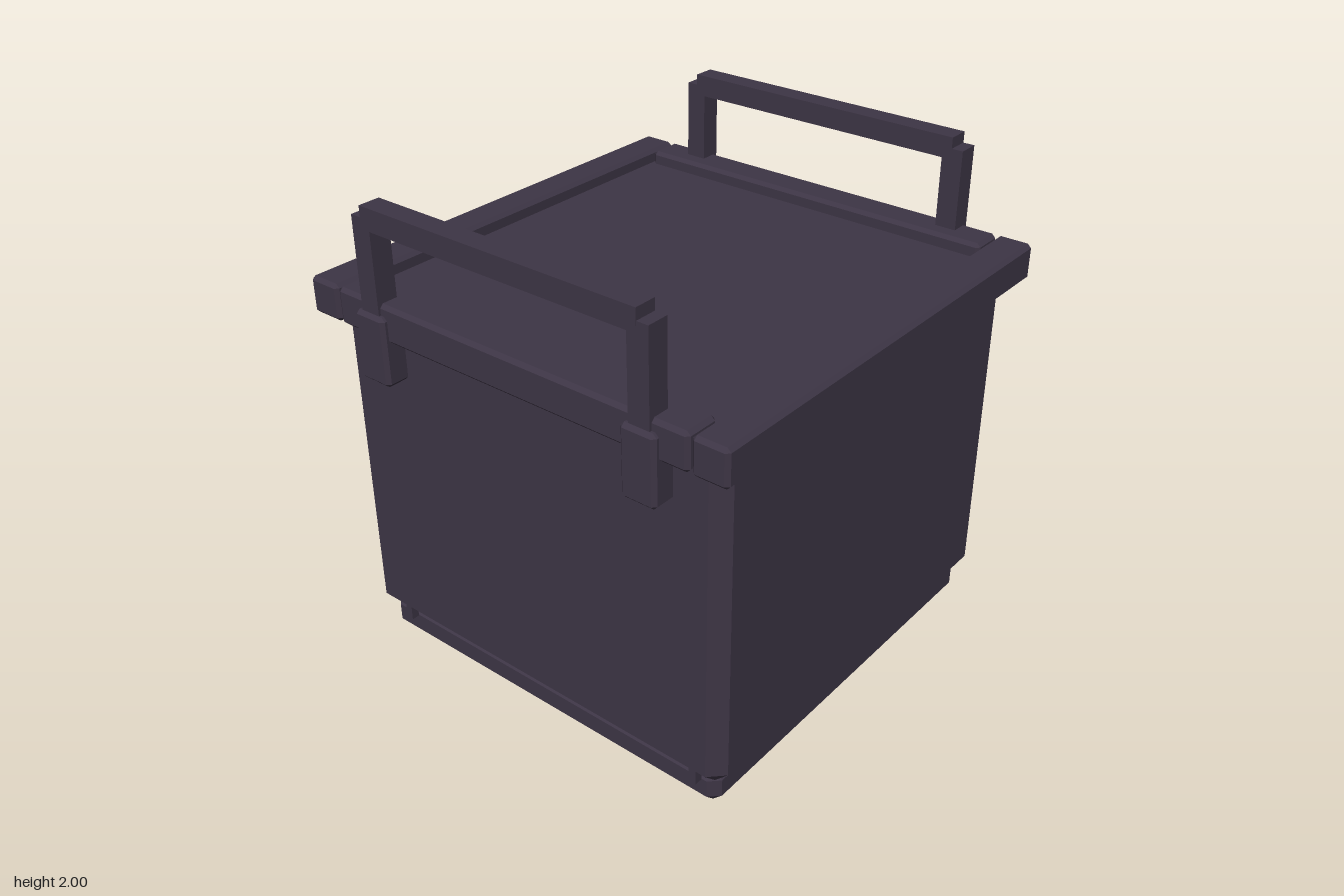
import * as THREE from 'three';
import { ConvexGeometry } from 'three/addons/geometries/ConvexGeometry.js';

// Box between two corners with every edge chamfered by c
function chamferBox(min, max, c) {
  const mid = min.map((v, i) => (v + max[i]) / 2);
  const half = min.map((v, i) => (max[i] - v) / 2);
  const points = [];
  for (const sx of [-1, 1]) for (const sy of [-1, 1]) for (const sz of [-1, 1]) {
    const signs = [sx, sy, sz];
    for (let face = 0; face < 3; face++) {
      points.push(new THREE.Vector3(...signs.map(
        (s, i) => mid[i] + s * (half[i] - (i === face ? 0 : c)))));
    }
  }
  return new ConvexGeometry(points);
}

function plainBox(min, max) {
  const size = min.map((v, i) => max[i] - v);
  return new THREE.BoxGeometry(...size).translate(...min.map((v, i) => v + size[i] / 2));
}

export function createModel() {
  const model = new THREE.Group();
  model.name = 'crate';
  const darkPlum = new THREE.MeshStandardMaterial({ color: 0x3d3545 });
  darkPlum.name = 'darkPlum';

  const add = (parent, name, geometry) => {
    const mesh = new THREE.Mesh(geometry, darkPlum);
    mesh.name = name;
    parent.add(mesh);
  };

  // Foot plate and main body
  add(model, 'base', chamferBox([-0.855, 0, -0.855], [0.855, 0.155, 0.855], 0.04));
  add(model, 'body', chamferBox([-0.9, 0.13, -0.9], [0.9, 1.575, 0.9], 0.058));

  // Each half is the same set of parts turned about the vertical axis
  for (const [name, angle] of [['left', 0], ['right', Math.PI]]) {
    const side = new THREE.Group();
    side.name = name + 'Side';
    side.rotation.y = angle;
    model.add(side);

    // Raised rim around the top
    add(side, 'endRim', chamferBox([-0.968, 1.48, 0.822], [0.968, 1.63, 0.968], 0.015));
    add(side, 'sideRim', chamferBox([0.82, 1.48, -0.814], [0.968, 1.63, 0.814], 0.015));

    // Handle: a crossbar on two posts, held by clips
    add(side, 'handleBar', plainBox([0.888, 1.912, -0.622], [0.978, 2, 0.622]));
    for (const s of [-1, 1]) {
      const z = s * 0.626;
      add(side, 'handlePost', plainBox([0.888, 1.4, z - 0.044], [0.977, 1.955, z + 0.044]));
      add(side, 'handleClip', chamferBox([0.87, 1.305, z - 0.074], [0.993, 1.587, z + 0.074], 0.015));
    }

    // Small pegs under the lower edge
    for (const z of [0.71, -0.78]) {
      add(side, 'peg', plainBox([0.862, 0.12, z - 0.016], [0.896, 0.2, z + 0.016]));
    }
  }
  return model;
}
